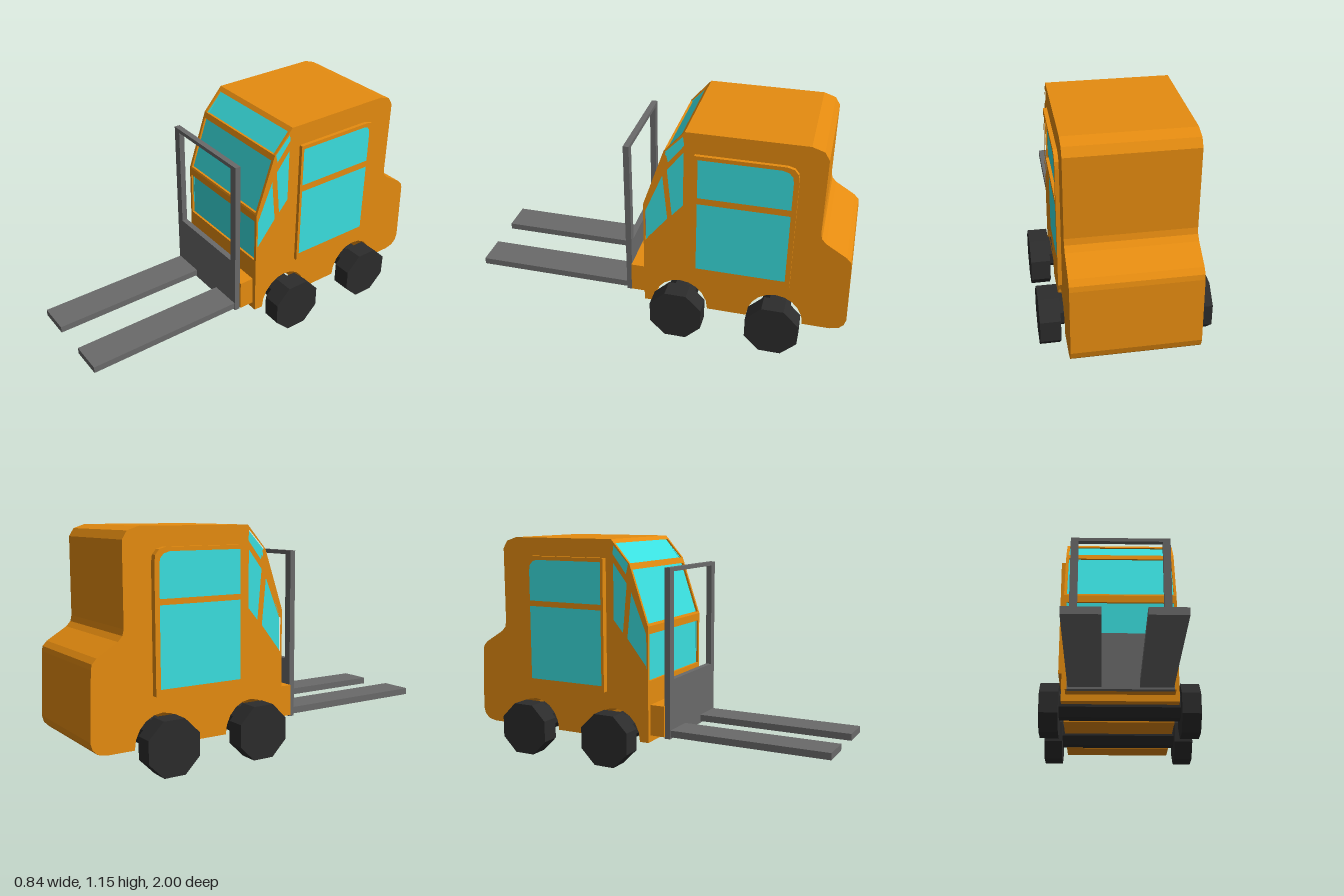
import * as THREE from 'three';

const mat = (color) => new THREE.MeshStandardMaterial({ color, flatShading: true });

export function createModel() {
  const model = new THREE.Group();
  const paint = mat(0xe68c10), glass = mat(0x3ae0e0), steel = mat(0x6a6a6a), rubber = mat(0x2c2c2c);

  const add = (name, geometry, material) => {
    const mesh = new THREE.Mesh(geometry, material);
    mesh.name = name;
    model.add(mesh);
    return mesh;
  };
  const box = (name, x0, x1, y0, y1, z0, z1, material) => {
    const g = new THREE.BoxGeometry(x1 - x0, y1 - y0, z1 - z0);
    g.translate((x0 + x1) / 2, (y0 + y1) / 2, (z0 + z1) / 2);
    return add(name, g, material);
  };
  // Side outlines are lists of [z, y], extruded across x from x0 to x1
  const outline = (pts) => pts.map(([z, y]) => new THREE.Vector2(-z, y));
  const slab = (name, pts, x0, x1, material, holes = []) => {
    const shape = new THREE.Shape(outline(pts));
    holes.forEach((h) => shape.holes.push(new THREE.Path(outline(h))));
    const g = new THREE.ExtrudeGeometry(shape, { depth: x1 - x0, bevelEnabled: false });
    g.rotateY(Math.PI / 2);
    g.translate(x0, 0, 0);
    return add(name, g, material);
  };
  // Slab on one side of the body, given by distances from the centre plane
  const sideSlab = (name, s, pts, inner, outer, material, holes) =>
    slab(name, pts, s > 0 ? inner : -outer, s > 0 ? outer : -inner, material, holes);

  // Front line of the cab, from bottom to roof
  const front = [[0.06, 0.12], [0.06, 0.72], [-0.045, 1.03], [-0.15, 1.15]];
  const frontZ = (y) => {
    let i = 0;
    while (i < 2 && y > front[i + 1][1]) i++;
    const [[za, ya], [zb, yb]] = [front[i], front[i + 1]];
    return za + (zb - za) * (y - ya) / (yb - ya);
  };
  // Strip following the front line between two heights and two depths
  const frontStrip = (name, y0, y1, d0, d1, material) => {
    const ys = [y0, ...front.map((p) => p[1]).filter((y) => y > y0 && y < y1), y1];
    const outer = ys.map((y) => [frontZ(y) - d0, y]);
    const inner = ys.map((y) => [frontZ(y) - d1, y]).reverse();
    return slab(name, [...outer, ...inner], -0.288, 0.288, material);
  };

  // Wheel positions and the arches cut in the underside
  const axles = [-0.635, -0.135];
  const arches = axles.flatMap((z) => Array.from({ length: 11 }, (_, i) => {
    const a = Math.PI * (1 - i / 10);
    return [z + 0.146 * Math.cos(a), 0.12 + 0.16 * Math.sin(a)];
  }));
  const profile = (inset) => [
    ...front.map(([z, y]) => [z - inset, y]),
    [-0.74, 1.15], [-0.8, 1.13], [-0.825, 1.09], [-0.825, 0.69], [-0.832, 0.66], [-0.855, 0.635],
    [-0.96, 0.57], [-0.983, 0.545], [-0.988, 0.52], [-1, 0.19], [-0.99, 0.155], [-0.965, 0.13], [-0.92, 0.12],
    ...arches,
  ];

  // Body core, with recessed windscreen and the bars in front of it
  slab('bodyCore', profile(0.02), -0.288, 0.288, paint);
  frontStrip('windscreen', 0.42, 1.138, 0.012, 0.02, glass);
  [[0.12, 0.44], [0.68, 0.73], [1.0, 1.03], [1.13, 1.15]].forEach(([y0, y1]) =>
    frontStrip('frontBar', y0, y1, 0, 0.02, paint));

  // Quarter windows beside the windscreen
  const quarters = [
    [[0.05, 0.68], [-0.04, 0.9], [-0.065, 0.65], [0.05, 0.505]],
    [[-0.06, 0.93], [-0.145, 1.04], [-0.145, 0.74], [-0.085, 0.67]],
    [[-0.052, 1.03], [-0.142, 1.125], [-0.148, 1.075], [-0.066, 0.97]],
  ];

  // Door frame and panes
  const doorFrame = [[-0.2, 0.35], [-0.2, 1.04], [-0.64, 1.04], [-0.675, 1.03], [-0.695, 1.005], [-0.7, 0.97], [-0.7, 0.35]];
  const panes = [
    [[-0.215, 0.375], [-0.215, 0.775], [-0.675, 0.775], [-0.675, 0.375]],
    [[-0.215, 0.8], [-0.215, 1.02], [-0.62, 1.02], [-0.652, 1.01], [-0.67, 0.99], [-0.675, 0.96], [-0.675, 0.8]],
  ];

  for (const s of [1, -1]) {
    sideSlab('sidePanel', s, profile(0), 0.288, 0.303, paint, quarters);
    quarters.forEach((q) => sideSlab('quarterWindow', s, q, 0.28, 0.292, glass));

    // The right door stands slightly further out, up and forward
    const door = [
      sideSlab('doorFrame', s, doorFrame, 0.29, s > 0 ? 0.322 : 0.335, paint, panes),
      ...panes.map((p) => sideSlab('doorWindow', s, p, 0.29, 0.307, glass)),
    ];
    if (s < 0) door.forEach((m) => m.position.set(0, 0.015, 0.018));

    // Fork
    const [x0, x1] = s > 0 ? [0.095, 0.265] : [-0.265, -0.095];
    box('fork', x0, x1, 0.155, 0.19, 0.15, 1, steel);
  }

  // Mast plate with open upper frame, and the carriage joining it to the body
  const rect = (x, y0, y1) => [[-x, y0], [x, y0], [x, y1], [-x, y1]].map(([a, b]) => new THREE.Vector2(a, b));
  const mast = new THREE.Shape(rect(0.27, 0.145, 1.015));
  mast.holes.push(new THREE.Path(rect(0.228, 0.45, 0.995)));
  const mastGeometry = new THREE.ExtrudeGeometry(mast, { depth: 0.03, bevelEnabled: false });
  mastGeometry.translate(0, 0, 0.137);
  add('mast', mastGeometry, steel);
  box('carriage', -0.28, 0.28, 0.155, 0.315, 0.05, 0.138, paint);

  // Octagonal wheels and axles
  const octagon = (radius, width) =>
    new THREE.CylinderGeometry(radius, radius, width, 8).rotateY(Math.PI / 8).rotateZ(Math.PI / 2);
  for (const z of axles) {
    add('axle', octagon(0.079, 0.66), rubber).position.set(0, 0.162, z);
    for (const s of [1, -1]) add('wheel', octagon(0.146, 0.1), rubber).position.set(s * 0.37, 0.135, z);
  }
  return model;
}
